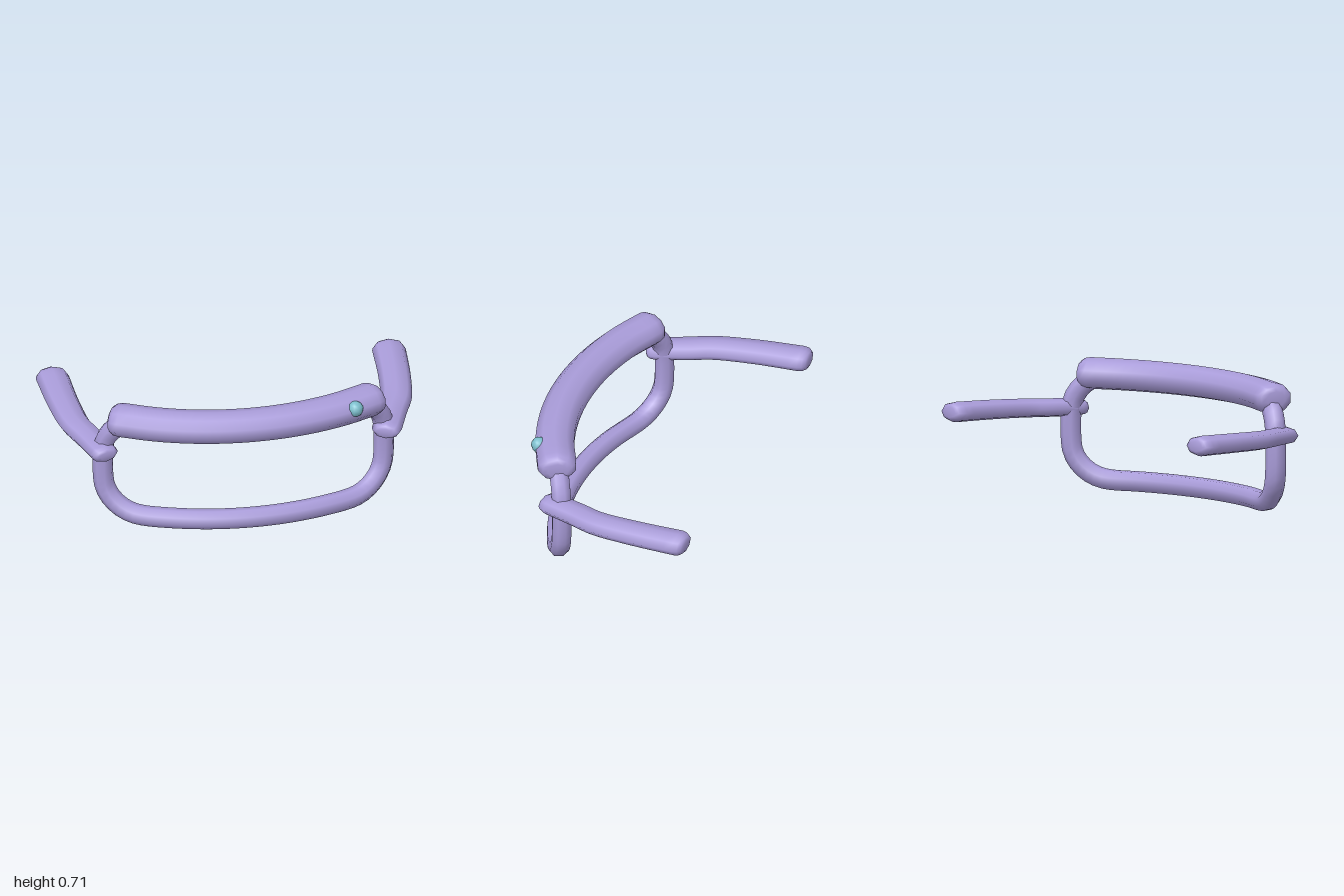
import * as THREE from 'three';

const lilac = new THREE.MeshStandardMaterial({ color: 0xa99cd9 });
lilac.name = 'lilac';
const aqua = new THREE.MeshStandardMaterial({ color: 0x7dbfcd });
aqua.name = 'aqua';

// depth of the wrap-around curve at a given x
const R = 1.41;
const wrapZ = (x, front) => front - R + Math.sqrt(R * R - x * x);

// sweep an upright ellipse along a roughly level curve, with rounded caps
function sweep(points, { steps, sides, width, height, cap }) {
  const curve = new THREE.CatmullRomCurve3(points);
  const up = new THREE.Vector3(0, 1, 0);
  const stations = [];
  const caps = [[1, 0], [1, 0.55], [0.85, 0.8], [0.5, 0.95], [0, 1]]; // [length, scale]
  caps.forEach(([l, s]) => stations.push({ t: 0, off: -l * cap, s }));
  stations[0].s = 0;
  stations[1].s = 0.5;
  stations[2].s = 0.76;
  stations[3].s = 0.93;
  stations[4].s = 1;
  const startCaps = stations.slice();
  for (let i = 1; i < steps; i++) stations.push({ t: i / steps, off: 0, s: 1 });
  startCaps.reverse().forEach(c => stations.push({ t: 1, off: -c.off, s: c.s }));

  const pos = [], index = [];
  stations.forEach(({ t, off, s }, i) => {
    const T = curve.getTangentAt(t);
    const c = curve.getPointAt(t).addScaledVector(T, off);
    const side = new THREE.Vector3().crossVectors(up, T).normalize();
    const top = new THREE.Vector3().crossVectors(T, side);
    const w = s * THREE.MathUtils.lerp(width[0], width[1], t);
    const h = s * THREE.MathUtils.lerp(height[0], height[1], t);
    for (let j = 0; j < sides; j++) {
      const a = Math.PI / 2 + (j / sides) * Math.PI * 2;
      const p = c.clone().addScaledVector(side, w * Math.cos(a)).addScaledVector(top, h * Math.sin(a));
      pos.push(p.x, p.y, p.z);
      if (i === stations.length - 1) continue;
      const p0 = i * sides + j, p1 = i * sides + (j + 1) % sides;
      index.push(p0, p1, p0 + sides, p1, p1 + sides, p0 + sides);
    }
  });
  const g = new THREE.BufferGeometry();
  g.setAttribute('position', new THREE.Float32BufferAttribute(pos, 3));
  g.setIndex(index);
  g.computeVertexNormals();
  return g;
}

// closed rounded-rectangle loop, bent around the wrap curve
function rimGeometry() {
  const pts = [];
  const cx = 0.555, r = 0.2;
  const corner = (x, y, start) => {
    for (let i = 0; i <= 5; i++) {
      const a = start + (i / 5) * Math.PI / 2;
      pts.push([x + r * Math.cos(a), y + r * Math.sin(a)]);
    }
  };
  const straight = (y, dir) => {
    for (let i = 1; i < 8; i++) pts.push([dir * cx * (i / 4 - 1), y]);
  };
  corner(cx, 0.425, 0);
  straight(0.625, -1);
  corner(-cx, 0.425, Math.PI / 2);
  corner(-cx, 0.26, Math.PI);
  straight(0.06, 1);
  corner(cx, 0.26, Math.PI * 1.5);
  const curve = new THREE.CatmullRomCurve3(
    pts.map(([x, y]) => new THREE.Vector3(x, y, wrapZ(x, 0.437))), true);
  return new THREE.TubeGeometry(curve, 96, 0.055, 8, true);
}

export function createModel() {
  const model = new THREE.Group();
  model.name = 'eyewearFrame';
  const add = (name, geometry, material) => {
    const m = new THREE.Mesh(geometry, material);
    m.name = name;
    model.add(m);
    return m;
  };

  add('rim', rimGeometry(), lilac);

  // thick brow bar over the top of the rim
  const bar = [];
  for (let i = 0; i <= 8; i++) {
    const x = 0.67 * (i / 4 - 1);
    bar.push(new THREE.Vector3(x, 0.627, wrapZ(x, 0.447)));
  }
  add('browBar', sweep(bar, {
    steps: 24, sides: 10, width: [0.108, 0.108], height: [0.085, 0.085], cap: 0.06,
  }), lilac);

  // flattened side arms
  for (const [s, name] of [[1, 'leftArm'], [-1, 'rightArm']]) {
    const path = [
      [0.765, 0.437, 0.27], [0.82, 0.444, 0.1], [0.863, 0.45, -0.02],
      [0.893, 0.463, -0.25], [0.907, 0.475, -0.505],
    ].map(([x, y, z]) => new THREE.Vector3(s * x, y, z));
    add(name, sweep(path, {
      steps: 16, sides: 8, width: [0.08, 0.09], height: [0.048, 0.055], cap: 0.05,
    }), lilac);
  }

  // small stud set into the brow bar
  const stud = add('stud', new THREE.SphereGeometry(0.043, 10, 8), aqua);
  stud.position.set(0.57, 0.656, 0.418);
  return model;
}
